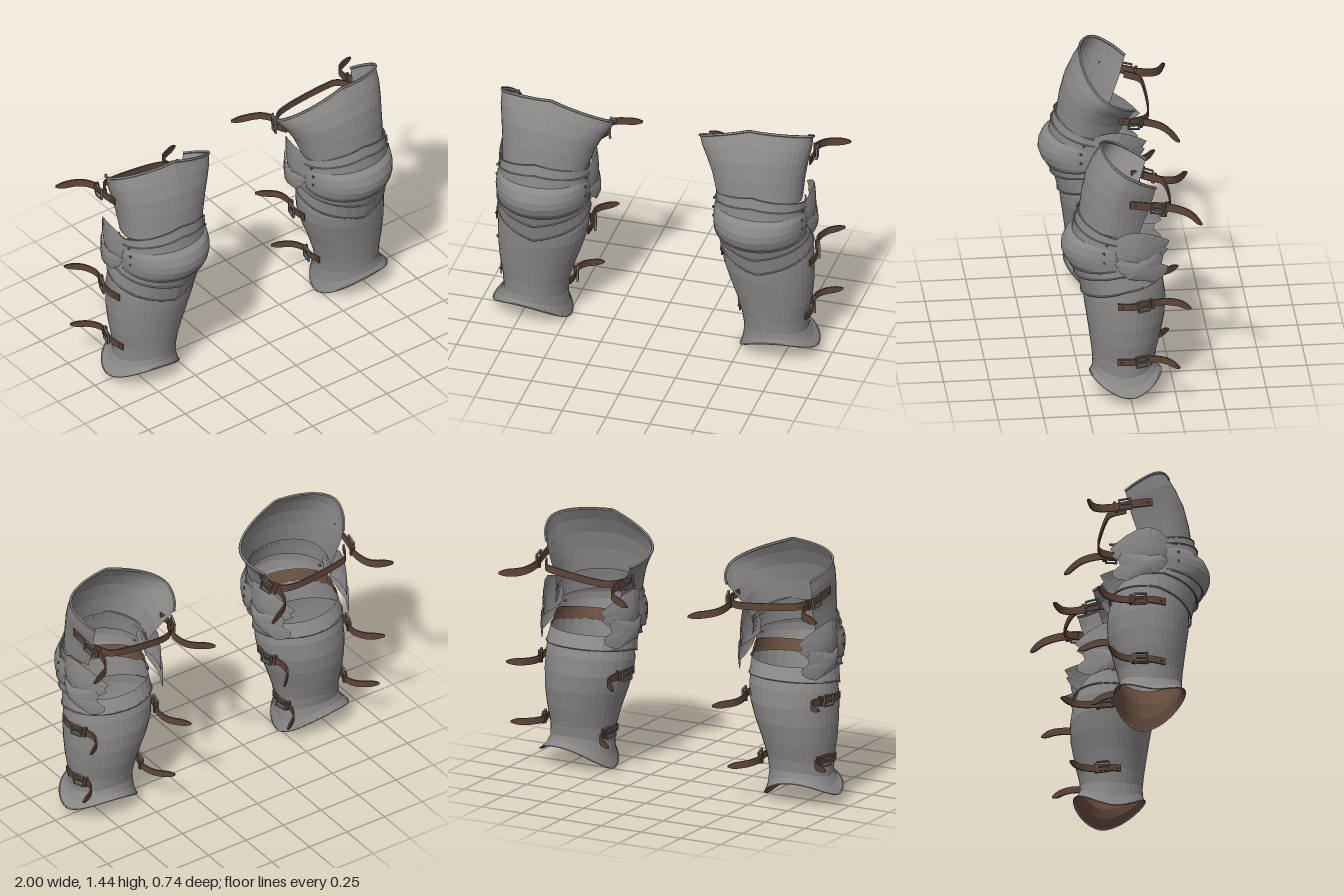
import * as THREE from 'three';
import { mergeVertices } from 'three/addons/utils/BufferGeometryUtils.js';

const mat = (name, color) => new THREE.MeshStandardMaterial({ name, color, flatShading: true, side: THREE.DoubleSide });
const steel = mat('steel', 0x8a8787);
const leather = mat('strap leather', 0x5e463b);
const lining = mat('lining leather', 0x6e5344);
const iron = mat('buckle iron', 0x6e6a68);

// Point on a plate ring; a = 0 is the front ridge, +90 degrees the outer side.
// row: [inner x, outer x, front z, middle z, back z, front y, side y, back y, outer rise, v-shape 0..1, arch power]
function ringPoint(r, a) {
  const [xi, xo, zf, zc, zb, yf, ys, yb, rise = 0, vee = 0, power = 1] = r;
  const s = Math.sin(a), c = Math.cos(a), arch = Math.abs(c) ** power;
  const peak = arch * (1 - vee) + (1 - Math.abs(a) / (Math.PI / 2)) * vee;
  return new THREE.Vector3(
    (xi + xo) / 2 + (xo - xi) / 2 * s,
    (c > 0 ? ys + (yf - ys) * peak : ys + (yb - ys) * arch) + rise * s,
    c > 0 ? zc + (zf - zc) * c : zc + (zc - zb) * c);
}

function gridGeometry(rows, cols, at) {
  const pos = [], index = [];
  for (let i = 0; i <= rows; i++) for (let j = 0; j <= cols; j++) {
    pos.push(...at(i, j).toArray());
    if (i < rows && j < cols) {
      const a = i * (cols + 1) + j, b = a + cols + 1;
      index.push(a, b, b + 1, a, b + 1, a + 1);
    }
  }
  const g = new THREE.BufferGeometry();
  g.setAttribute('position', new THREE.Float32BufferAttribute(pos, 3));
  g.setIndex(index);
  g.computeVertexNormals();
  return g;
}

// Curved plate through ring rows listed from top to bottom, reaching `deg` to both sides
function shell(rows, deg, cols = 28) {
  const A = THREE.MathUtils.degToRad(deg);
  return gridGeometry(rows.length - 1, cols, (i, j) => ringPoint(rows[i], -A + 2 * A * j / cols));
}

// Rows moved inward for a lining
const inset = rows => rows.map(([xi, xo, zf, zc, zb, ...y]) => [xi + 0.007, xo - 0.007, zf - 0.007, zc, zb + 0.007, ...y]);

// Rolled edge along one ring row
function rim(row, deg, radius) {
  const A = THREE.MathUtils.degToRad(deg), pts = [];
  for (let j = 0; j <= 28; j++) pts.push(ringPoint(row, -A + 2 * A * j / 28));
  return new THREE.TubeGeometry(new THREE.CatmullRomCurve3(pts), 56, radius, 5);
}

const curveThrough = pts => new THREE.CatmullRomCurve3(pts.map(p => new THREE.Vector3(...p)));

// Flat strap bent along a curve, pointed at the loose end
function strap(curve, width, tip) {
  const g = new THREE.BoxGeometry(1, width, 0.009, 22, 1, 1), p = g.attributes.position;
  for (let i = 0; i < p.count; i++) {
    const t = p.getX(i) + 0.5, tan = curve.getTangentAt(t);
    const n = new THREE.Vector3().crossVectors(tan, new THREE.Vector3(0, 1, 0)).normalize();
    const taper = tip && t > 0.85 ? 1 - 0.75 * ((t - 0.85) / 0.15) ** 2 : 1;
    const q = curve.getPointAt(t).addScaledVector(n, p.getZ(i));
    p.setXYZ(i, q.x, q.y + p.getY(i) * taper, q.z);
  }
  g.computeVertexNormals();
  return g;
}

// Matrix with x along the curve, y up and z away from the strap
function onCurve(curve, t, lift) {
  const x = curve.getTangentAt(t), z = new THREE.Vector3().crossVectors(x, new THREE.Vector3(0, 1, 0)).normalize();
  const y = new THREE.Vector3().crossVectors(z, x);
  return new THREE.Matrix4().makeBasis(x, y, z).setPosition(curve.getPointAt(t).addScaledVector(z, lift));
}

function buckleFrame() {
  const s = new THREE.Shape(), h = new THREE.Path();
  const rect = (p, w, d) => p.moveTo(-w, -d).lineTo(w, -d).lineTo(w, d).lineTo(-w, d).closePath();
  rect(s, 0.036, 0.034);
  rect(h, 0.029, 0.027);
  s.holes.push(h);
  return new THREE.ExtrudeGeometry(s, { depth: 0.012, bevelEnabled: false }).translate(0, 0, -0.006);
}

// Bowl-shaped side wing wrapping towards the back: side = 1 outer, -1 inner; outline in [z, y]
function wing(side, outline, cz, cy, lift) {
  return gridGeometry(6, outline.length - 1, (i, j) => {
    const r = i / 6, z = cz + (outline[j][0] - cz) * r, y = cy + (outline[j][1] - cy) * r;
    const back = Math.max(0, -0.01 - z) / 0.2, front = Math.max(0, z + 0.01) / 0.12;
    const bowl = 0.28 - 0.095 * back ** 1.6 - 0.028 * front ** 2 + 0.01 * (1 - r * r);
    return new THREE.Vector3(0.62 + side * (bowl + lift), y, z);
  });
}
const upperLobe = [[0.11, 0.88], [0.115, 0.94], [0.09, 1.0], [0.05, 1.035], [-0.01, 1.05], [-0.07, 1.04], [-0.13, 1.01],
  [-0.18, 0.975], [-0.215, 0.945], [-0.19, 0.915], [-0.205, 0.9], [-0.17, 0.865], [-0.1, 0.85], [0, 0.84], [0.07, 0.85], [0.11, 0.88]];
const lowerLobe = [[0.1, 0.87], [0.05, 0.885], [-0.02, 0.87], [-0.09, 0.885], [-0.16, 0.9], [-0.175, 0.87], [-0.165, 0.83],
  [-0.205, 0.8], [-0.2, 0.77], [-0.17, 0.745], [-0.13, 0.73], [-0.06, 0.755], [0.02, 0.77], [0.07, 0.81], [0.1, 0.87]];

function legParts() {
  const parts = [];
  const add = (name, geometry, material) => parts.push({ name, geometry, material });

  // Thigh plate, open at the back
  const thigh = [
    [0.245, 0.885, 0.14, 0, -0.235, 1.43, 1.32, 1.19, 0.05, 0.9],
    [0.268, 0.882, 0.185, 0.03, -0.23, 1.355, 1.265, 1.15, 0.035, 0.5],
    [0.305, 0.868, 0.225, 0.06, -0.22, 1.27, 1.2, 1.1, 0.02, 0.2],
    [0.34, 0.857, 0.25, 0.08, -0.19, 1.17, 1.12, 1.05, 0.01, 0],
    [0.37, 0.85, 0.268, 0.1, -0.145, 1.05, 1.01, 0.97, 0, 0]];
  add('thighPlate', shell(thigh, 125), steel);
  add('thighRim', rim(thigh[0], 125, 0.008), steel);

  // Overlapping knee lames: [name, reach, edge row, rows]
  const lames = [
    ['upperLame', 112, 0, [[0.37, 0.865, 0.276, 0.08, -0.1, 1.085, 1.0, 0.98, 0, 1], [0.365, 0.87, 0.297, 0.08, -0.1, 0.99, 0.95, 0.94, 0, 0.6]]],
    ['middleLame', 112, 0, [[0.365, 0.872, 0.294, 0.09, -0.1, 1.025, 0.965, 0.95, 0, 1], [0.362, 0.876, 0.31, 0.09, -0.1, 0.93, 0.89, 0.88, 0, 0.3]]],
    ['lowerLame', 115, 1, [[0.38, 0.87, 0.325, 0.08, -0.1, 0.8, 0.85, 0.85, 0, 0.2], [0.368, 0.888, 0.295, 0.06, -0.12, 0.7, 0.78, 0.77, 0, 0.9]]],
    ['shinLame', 180, 1, [[0.385, 0.878, 0.288, 0.04, -0.145, 0.74, 0.785, 0.785, 0, 0.7], [0.38, 0.893, 0.256, 0.03, -0.188, 0.588, 0.69, 0.715, 0, 0.9]]]];
  for (const [name, reach, edge, rows] of lames) {
    add(name, shell(rows, reach), steel);
    add(name + 'Edge', rim(rows[edge], reach, 0.005), steel);
  }
  add('lowerLameLining', shell(inset(lames[2][3]), 115), lining);

  // Knee cup
  const cup = [[0.37, 0.87, 0.305, 0.1, 0, 0.96, 0.945], [0.364, 0.876, 0.342, 0.1, 0, 0.935, 0.925],
    [0.36, 0.88, 0.364, 0.1, 0, 0.89, 0.89], [0.36, 0.88, 0.366, 0.1, 0, 0.85, 0.86],
    [0.362, 0.878, 0.35, 0.1, 0, 0.805, 0.83], [0.366, 0.876, 0.325, 0.1, 0, 0.775, 0.81]].map(r => [...r, r[6]]);
  add('kneeCup', shell(cup, 100), steel);
  add('kneeCupEdge', rim(cup[5], 100, 0.005), steel);

  // Side wings, two overlapping lobes each
  for (const [name, side] of [['outerWing', 1], ['innerWing', -1]]) {
    add(name + 'Upper', wing(side, upperLobe, -0.02, 0.93, -0.01), steel);
    add(name + 'Lower', wing(side, lowerLobe, -0.03, 0.82, 0.002), steel);
  }

  // Shin plate with leather lining around the ankle
  const shin = [
    [0.39, 0.885, 0.245, 0.02, -0.165, 0.64, 0.7, 0.74],
    [0.385, 0.892, 0.247, 0.02, -0.192, 0.59, 0.635, 0.66],
    [0.395, 0.896, 0.242, 0.02, -0.205, 0.53, 0.55, 0.56],
    [0.425, 0.895, 0.23, 0.02, -0.198, 0.45, 0.45, 0.46],
    [0.465, 0.885, 0.215, 0.02, -0.175, 0.34, 0.34, 0.35],
    [0.495, 0.868, 0.204, 0.02, -0.15, 0.25, 0.235, 0.25],
    [0.508, 0.866, 0.2, 0.015, -0.142, 0.19, 0.15, 0.19, 0, 0, 1.7],
    [0.502, 0.888, 0.203, 0.01, -0.152, 0.155, 0.085, 0.155, 0.015, 0, 1.7],
    [0.485, 0.925, 0.216, 0.01, -0.175, 0.13, 0.03, 0.13, 0.026, 0, 1.7]];
  add('shinPlate', shell(shin, 180, 36), steel);
  add('ankleLining', shell(inset(shin.slice(5)), 180, 36), lining);
  add('shinBottomRim', rim(shin[8], 180, 0.004), steel);

  // Straps with buckles: [name, width, buckle position, side, points]
  const straps = [
    ['outerThighStrap', 0.045, 0.32, 1, [[0.872, 1.212, 0.01], [0.87, 1.2, -0.06], [0.86, 1.185, -0.14], [0.845, 1.17, -0.22], [0.88, 1.15, -0.31], [0.998, 1.138, -0.37]]],
    ['innerThighStrap', 0.042, 0.2, -1, [[0.335, 1.135, -0.05], [0.32, 1.122, -0.12], [0.355, 1.105, -0.2], [0.33, 1.085, -0.29], [0.19, 1.06, -0.37]]],
    ['outerCalfStrap', 0.04, 0.32, 1, [[0.893, 0.602, 0.08], [0.907, 0.604, 0], [0.882, 0.608, -0.1], [0.868, 0.612, -0.17], [0.9, 0.616, -0.25], [0.982, 0.62, -0.312]]],
    ['innerCalfStrap', 0.04, 0.25, -1, [[0.383, 0.57, 0.05], [0.378, 0.568, -0.04], [0.405, 0.565, -0.12], [0.4, 0.56, -0.21], [0.31, 0.55, -0.31]]],
    ['outerAnkleStrap', 0.038, 0.34, 1, [[0.868, 0.252, 0.08], [0.884, 0.256, 0], [0.868, 0.258, -0.07], [0.862, 0.26, -0.13], [0.895, 0.261, -0.19], [0.988, 0.262, -0.25]]],
    ['innerAnkleStrap', 0.038, 0.28, -1, [[0.485, 0.23, 0.05], [0.478, 0.226, -0.03], [0.492, 0.22, -0.1], [0.465, 0.212, -0.18], [0.375, 0.2, -0.25]]]];
  for (const [name, width, t, side, pts] of straps) {
    const curve = curveThrough(pts);
    const lift = curve.getTangentAt(t).z < 0 ? side : -side;
    add(name, strap(curve, width, true), leather);
    add(name + 'Buckle', buckleFrame().applyMatrix4(onCurve(curve, t, 0.012 * lift)), iron);
    add(name + 'Prong', new THREE.BoxGeometry(0.06, 0.006, 0.006).applyMatrix4(onCurve(curve, t, 0.014 * lift)), iron);
    add(name + 'Keeper', new THREE.BoxGeometry(0.016, width + 0.014, 0.024).applyMatrix4(onCurve(curve, t + 0.12, 0)), leather);
    add(name + 'Rivet', new THREE.SphereGeometry(0.007, 6, 4).applyMatrix4(onCurve(curve, 0.06, 0.005 * lift)), iron);
  }
  const back = curveThrough([[0.83, 1.17, -0.13], [0.785, 1.16, -0.21], [0.72, 1.152, -0.224], [0.45, 1.122, -0.224], [0.38, 1.118, -0.2], [0.335, 1.122, -0.12]]);
  add('backThighStrap', strap(back, 0.04, false), leather);

  // Rivets beside the knee
  for (const s of [-1, 1]) for (const [y, z] of [[0.97, 0.14], [0.92, 0.155], [0.865, 0.155]]) {
    add('kneeRivet', new THREE.SphereGeometry(0.008, 6, 4).translate(0.618 + s * 0.253, y, z), iron);
  }
  return parts;
}

// Mirrored copy with corner order restored
function mirrored(geometry) {
  const g = mergeVertices(geometry.clone()).scale(-1, 1, 1), ix = g.index;
  for (let i = 0; i < ix.count; i += 3) {
    const b = ix.getX(i + 1);
    ix.setX(i + 1, ix.getX(i + 2));
    ix.setX(i + 2, b);
  }
  g.computeVertexNormals();
  return g;
}

export function createModel() {
  const model = new THREE.Group(), left = new THREE.Group(), right = new THREE.Group();
  model.name = 'legArmour';
  left.name = 'leftLeg';
  right.name = 'rightLeg';
  for (const { name, geometry, material } of legParts()) {
    for (const [leg, g] of [[left, geometry], [right, mirrored(geometry)]]) {
      const mesh = new THREE.Mesh(g, material);
      mesh.name = name;
      leg.add(mesh);
    }
  }
  model.add(left, right);
  return model;
}
